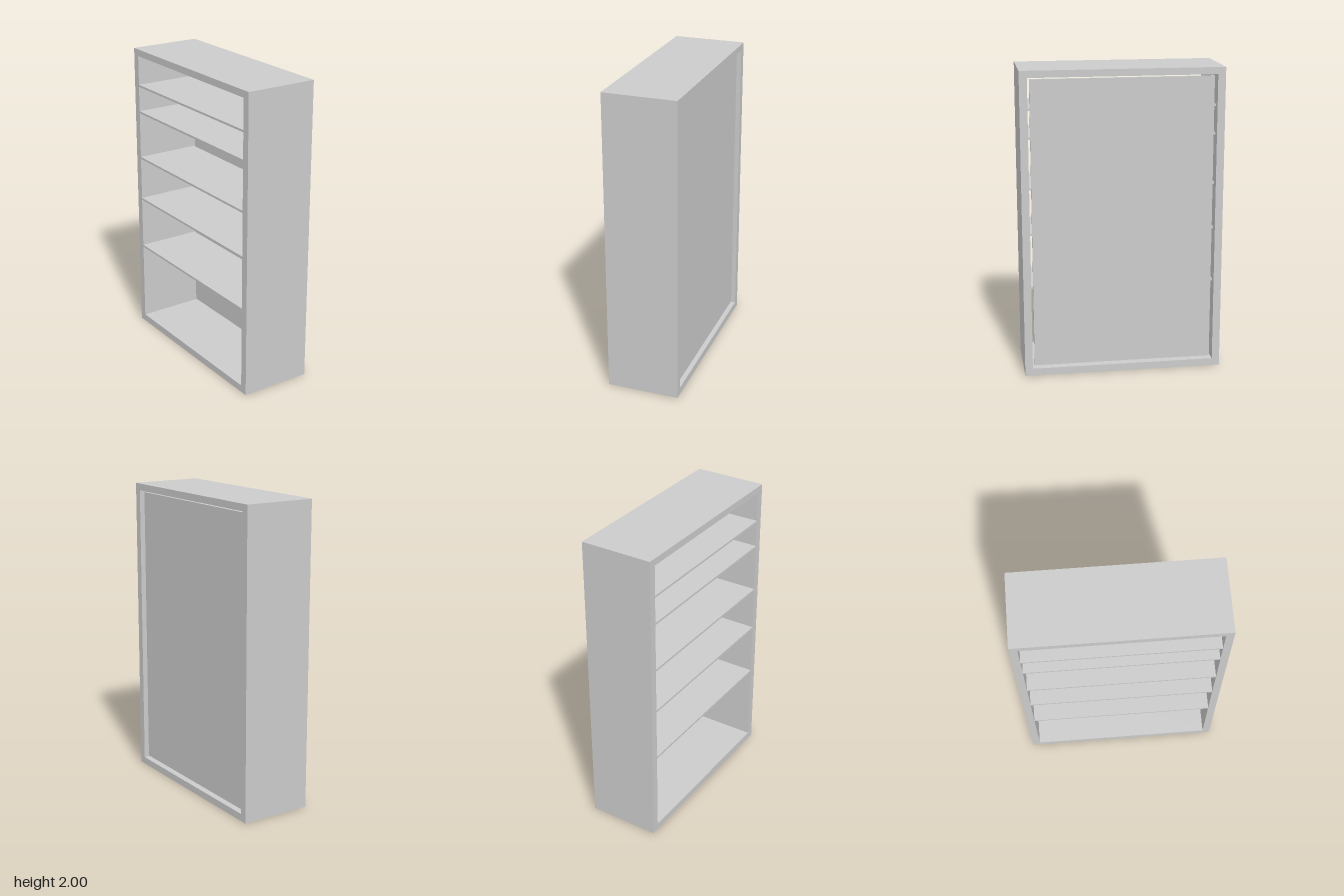
import * as THREE from 'three';

// Open bookcase: shelves face -x, recessed back panel on +x.
export function createModel() {
  const group = new THREE.Group();
  const material = new THREE.MeshStandardMaterial({ color: 0xcccccc, flatShading: true });

  // Box given by its minimum and maximum on each axis
  const board = (name, [x0, x1], [y0, y1], [z0, z1]) => {
    const mesh = new THREE.Mesh(new THREE.BoxGeometry(x1 - x0, y1 - y0, z1 - z0), material);
    mesh.position.set((x0 + x1) / 2, (y0 + y1) / 2, (z0 + z1) / 2);
    mesh.name = name;
    group.add(mesh);
  };

  const depth = [-0.238, 0.238];
  const outer = 0.65, inner = 0.6;
  const floor = 0.048, ceiling = 1.955;

  // Outer frame
  board('bottomBoard', depth, [0, floor], [-outer, outer]);
  board('topBoard', depth, [ceiling, 2], [-outer, outer]);
  board('frontSidePanel', depth, [floor, ceiling], [inner, outer]);
  board('rearSidePanel', depth, [floor, ceiling], [-outer, -inner]);

  // Back panel, set in with a narrow gap all round
  board('backPanel', [0.193, 0.212], [0.061, 1.943], [-0.585, 0.585]);

  // Thin shelves spanning the frame
  [0.59, 0.945, 1.245, 1.57, 1.753].forEach((y, i) =>
    board(`shelf${i + 1}`, [depth[0], 0.193], [y - 0.007, y + 0.007], [-inner, inner]));

  return group;
}
